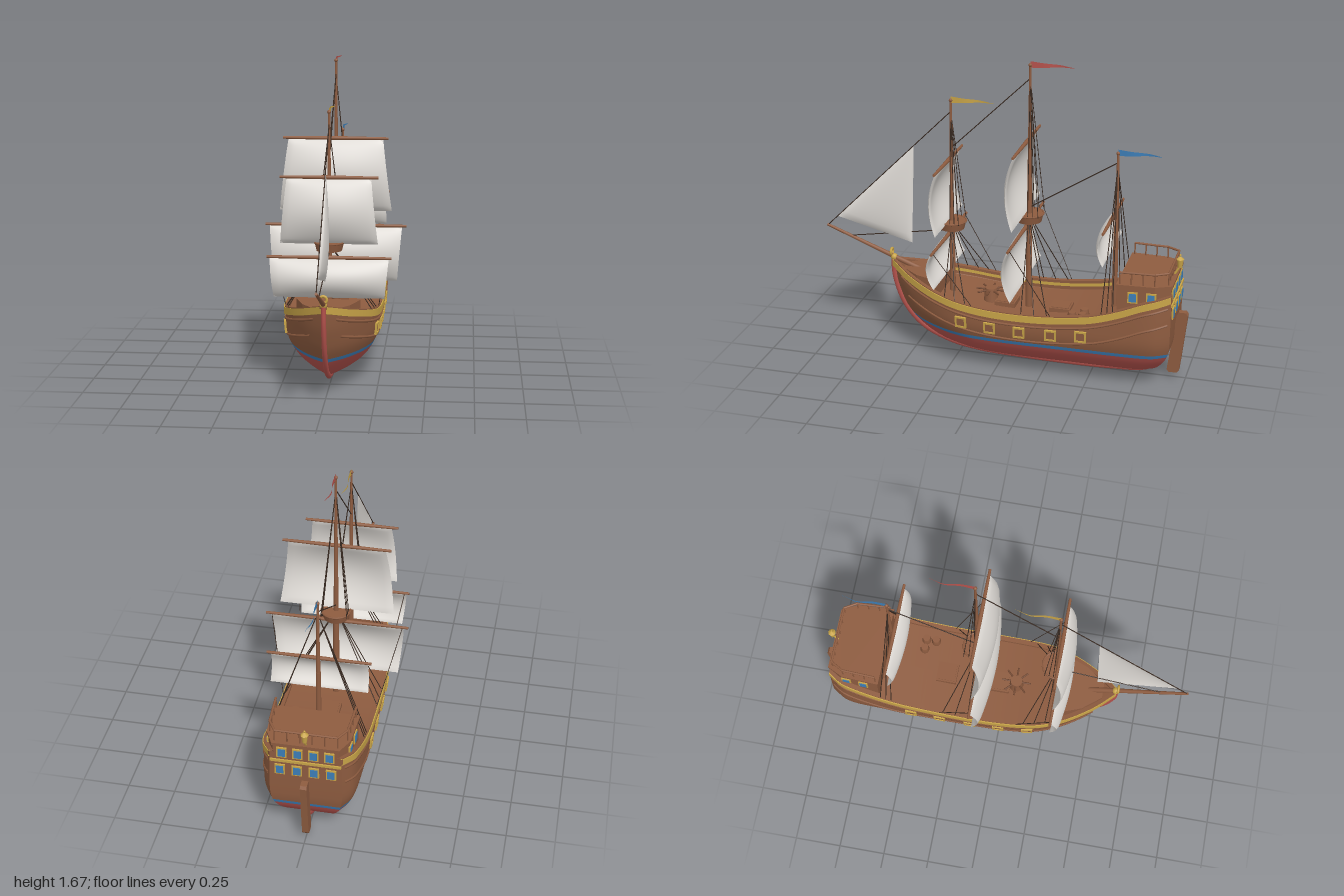
import * as THREE from 'three';
import { toCreasedNormals } from 'three/addons/utils/BufferGeometryUtils.js';

const paint = (name, color) => new THREE.MeshStandardMaterial({ name, color, side: THREE.DoubleSide });
const V = (x, y, z) => new THREE.Vector3(x, y, z);
const { lerp } = THREE.MathUtils;

// smooth curve through [x, y] pairs
function table(pts) {
  const d = pts.map((p, i) => {
    const a = pts[Math.max(i - 1, 0)], b = pts[Math.min(i + 1, pts.length - 1)];
    return (b[1] - a[1]) / (b[0] - a[0]);
  });
  return x => {
    let i = 0;
    while (i < pts.length - 2 && x > pts[i + 1][0]) i++;
    const [x0, y0] = pts[i], [x1, y1] = pts[i + 1], h = x1 - x0;
    const t = THREE.MathUtils.clamp((x - x0) / h, 0, 1), t2 = t * t, t3 = t2 * t;
    return y0 * (2 * t3 - 3 * t2 + 1) + y1 * (3 * t2 - 2 * t3) + d[i] * h * (t3 - 2 * t2 + t) + d[i + 1] * h * (t3 - t2);
  };
}

// hull lines: stem and stern by height, half beam along the length, sheer by z
const stem = table([[.04, .15], [.07, .32], [.14, .45], [.24, .54], [.33, .58], [.4, .6], [.55, .617]]);
const stern = table([[.04, -.72], [.07, -.82], [.12, -.88], [.2, -.925], [.3, -.935], [.55, -.935]]);
const plan = table([[0, .185], [.05, .23], [.13, .245], [.4, .25], [.6, .25], [.735, .237], [.8, .213], [.865, .17], [.93, .108], [.967, .06], [1, .008]]);
const sheer = table([[-.935, .535], [-.8, .5], [-.7, .46], [-.6, .425], [-.5, .4], [-.3, .376], [-.1, .37], [.1, .38], [.3, .413], [.5, .465], [.61, .505]]);
const section = y => y < .3 ? Math.sqrt(Math.max(0, 1 - ((.3 - y) / .26) ** 2)) : 1 - .6 * (y - .3) ** 2;
const hullAt = (u, y, side = 1) => V(side * plan(u) * section(y), y, lerp(stern(y), stem(y), u));
const uAt = (z, y) => (z - stern(y)) / (stem(y) - stern(y));
const sheerU = u => sheer(lerp(-.935, .61, u));

function surface(nu, nv, f) {
  const pos = [], idx = [];
  for (let i = 0; i <= nu; i++) for (let j = 0; j <= nv; j++) {
    pos.push(...f(i / nu, j / nv).toArray());
    if (i < nu && j < nv) { const a = i * (nv + 1) + j, b = a + nv + 1; idx.push(a, b, a + 1, b, b + 1, a + 1); }
  }
  const g = new THREE.BufferGeometry();
  g.setAttribute('position', new THREE.Float32BufferAttribute(pos, 3));
  g.setIndex(idx);
  g.computeVertexNormals();
  return g;
}

export function createModel() {
  const wood = paint('wood', 0x8e5c40), darkWood = paint('darkWood', 0x744a33), red = paint('red', 0xb8544e);
  const blue = paint('blue', 0x3d7fb8), gold = paint('gold', 0xc9a548), canvas = paint('canvas', 0xdedad5), rope = paint('rope', 0x3a2b22);
  const ship = new THREE.Group();
  ship.name = 'sailingShip';
  const part = (name, parent = ship) => { const g = new THREE.Group(); g.name = name; parent.add(g); return g; };
  const add = (name, geo, mat, parent = ship, x = 0, y = 0, z = 0) => {
    const m = new THREE.Mesh(geo, mat);
    m.name = name; m.position.set(x, y, z); parent.add(m);
    return m;
  };
  const bar = (name, a, b, r0, mat, parent, r1 = r0, n = 10) => {
    const m = add(name, new THREE.CylinderGeometry(r1, r0, a.distanceTo(b), n), mat, parent);
    m.position.copy(a).lerp(b, .5);
    m.quaternion.setFromUnitVectors(V(0, 1, 0), b.clone().sub(a).normalize());
  };
  const box = (name, w, h, d, mat, parent, x, y, z) => add(name, new THREE.BoxGeometry(w, h, d), mat, parent, x, y, z);
  // flat slab from half an outline of [x, z] points
  const slab = (name, half, y0, y1, mat, parent) => {
    const pts = [...half, ...half.map(([x, z]) => [-x, z]).reverse()].map(([x, z]) => new THREE.Vector2(x, -z));
    const g = new THREE.ExtrudeGeometry(new THREE.Shape(pts), { depth: y1 - y0, bevelEnabled: false });
    return add(name, g.rotateX(-Math.PI / 2), mat, parent, 0, y0, 0);
  };

  // hull planking in three colour bands, with the transom
  const hull = part('hull');
  const yLow = .3 - .26 * Math.cos(0);
  const aMax = Math.acos((.3 - .187) / .26);
  const bands = [
    ['bottom', red, 14, (u, v) => v === 0 ? yLow : .3 - .26 * Math.cos(aMax * v)],
    ['waterline', blue, 2, (u, v) => lerp(.187, .208, v)],
    ['topside', wood, 12, (u, v) => lerp(.208, sheerU(u), v)]];
  for (const [name, mat, rows, yOf] of bands) {
    for (const s of [-1, 1]) add(name, surface(70, rows, (u, v) => hullAt(u, yOf(u, v), s)), mat, hull);
    add(name + 'Transom', surface(2, rows, (t, v) => { const p = hullAt(0, yOf(0, v)); p.x *= 2 * t - 1; return p; }), mat, hull);
  }
  add('deck', surface(60, 2, (u, v) => { const p = hullAt(u, sheerU(u) - .055); p.x *= 2 * v - 1; return p; }), wood, hull);

  // rails: a rectangular section swept along the sheer
  const sweep = (name, loop, mat) => [-1, 1].forEach(s => add(name, toCreasedNormals(surface(60, 4, (u, v) => {
    const [dx, dy] = loop[Math.round(v * 4) % 4], p = hullAt(u, sheerU(u), s);
    return V(s * Math.max(0, Math.abs(p.x) + dx), p.y + dy, p.z + u ** 20 * .01);
  }), .6), mat, hull));
  sweep('goldRail', [[-.003, -.034], [.01, -.034], [.01, .002], [-.003, .002]], gold);
  sweep('railCap', [[-.022, -.008], [.004, -.008], [.004, .007], [-.022, .007]], wood);

  // wales, each a rounded timber following the sheer
  for (const s of [-1, 1]) for (const [drop, u0, u1] of [[.15, .01, .955], [.06, .01, .97]]) {
    const pts = Array.from({ length: 24 }, (_, i) => { const u = lerp(u0, u1, i / 23); return hullAt(u, sheerU(u) - drop, s); });
    add('wale', new THREE.TubeGeometry(new THREE.CatmullRomCurve3(pts), 60, .007, 6), wood, hull);
  }

  // keel and stem
  const keelPts = [[.615, .51], [.607, .4], [.553, .25], [.45, .133], [.3, .064], [.14, .034], [-.1, .021], [-.6, .021], [-.79, .042], [-.87, .1]];
  const keel = part('keel');
  keel.scale.x = .65;
  add('keelTimber', new THREE.TubeGeometry(new THREE.CatmullRomCurve3(keelPts.map(([z, y]) => V(0, y, z))), 70, .02, 10), red, keel);
  add('keelEnd', new THREE.SphereGeometry(.02, 10, 8), red, keel, 0, .1, -.87);
  const blade = new THREE.Shape([[-.9, .045], [-.91, .03], [-.955, .03], [-.965, .045], [-1, .365], [-.99, .38], [-.95, .38], [-.942, .365]].map(p => new THREE.Vector2(...p)));
  add('rudder', new THREE.ExtrudeGeometry(blade, { depth: .034, bevelEnabled: false }).rotateY(-Math.PI / 2), wood, ship, .017);

  // gun ports facing outward from the planking
  const frame = new THREE.Shape([[-1, -1], [1, -1], [1, 1], [-1, 1]].map(([x, y]) => new THREE.Vector2(x * .031, y * .031)));
  frame.holes.push(new THREE.Path([[-1, -1], [-1, 1], [1, 1], [1, -1]].map(([x, y]) => new THREE.Vector2(x * .022, y * .022))));
  const frameGeo = new THREE.ExtrudeGeometry(frame, { depth: .014, bevelEnabled: false });
  for (const s of [-1, 1]) for (const [z, y] of [[.17, .287], [.01, .277], [-.15, .272], [-.32, .276], [-.48, .288]]) {
    const u = uAt(z, y), e = .01, p = hullAt(u, y, s), port = part('gunPort');
    const n = hullAt(u + e, y, s).sub(hullAt(u - e, y, s)).cross(hullAt(u, y + e, s).sub(hullAt(u, y - e, s))).normalize();
    if (n.x * s < 0) n.negate();
    port.position.copy(p);
    port.lookAt(p.clone().add(n));
    add('portFrame', frameGeo, gold, port, 0, 0, -.004);
    box('portLid', .046, .046, .008, wood, port, 0, 0, .001);
  }

  // forecastle and stern castle
  slab('forecastle', [[.165, .33], [.12, .45], [.04, .55]], .34, .475, wood, ship);
  const castle = part('sternCastle');
  const plan0 = [[.215, -.66], [.205, -.85], [.165, -.93]];
  slab('cabin', plan0, .36, .58, wood, castle);
  slab('cabinRoof', [[.222, -.653], [.212, -.853], [.17, -.938]], .577, .592, wood, castle);
  const glazed = (x, y, z, ry) => {
    const w = part('window', castle);
    w.position.set(x, y, z); w.rotation.y = ry;
    box('windowFrame', .052, .06, .009, gold, w, 0, 0, .002);
    box('windowPane', .037, .045, .009, blue, w, 0, 0, .005);
  };
  for (const s of [-1, 1]) {
    for (const z of [-.74, -.835]) glazed(s * (.215 + (z + .66) * .0526), .525, z, s * (Math.PI / 2 + .053));
    for (const k of [.04, .12]) { glazed(s * k, .535, -.932, Math.PI); glazed(s * k * 1.08, .43, -.937, Math.PI); }
  }
  box('sternMoulding', .36, .014, .016, gold, castle, 0, .485, -.935);

  // stern railing on posts
  const corners = [[.205, -.67], [.196, -.85], [.158, -.915]];
  const railPath = [...corners, ...corners.map(([x, z]) => [-x, z]).reverse()];
  railPath.slice(1).forEach(([x1, z1], i) => {
    const [x0, z0] = railPath[i], n = Math.max(1, Math.round(Math.hypot(x1 - x0, z1 - z0) / .06));
    bar('handrail', V(x0, .655, z0), V(x1, .655, z1), .006, wood, castle);
    for (let k = i ? 1 : 0; k <= n; k++) {
      const x = lerp(x0, x1, k / n), z = lerp(z0, z1, k / n);
      bar('railPost', V(x, .585, z), V(x, .655, z), .004, wood, castle, .004, 6);
    }
  });
  const lantern = part('lantern');
  bar('lanternBracket', V(0, .59, -.92), V(0, .635, -.945), .006, gold, lantern);
  add('lanternBody', new THREE.CylinderGeometry(.017, .012, .045, 8), gold, lantern, 0, .652, -.945);
  add('lanternCap', new THREE.ConeGeometry(.021, .02, 8), gold, lantern, 0, .684, -.945);
  add('lanternKnob', new THREE.SphereGeometry(.006, 8, 6), gold, lantern, 0, .696, -.945);

  // bowsprit and its gold ring
  bar('bowsprit', V(0, .43, .39), V(0, .665, .998), .016, wood, ship, .007);
  add('bowRing', new THREE.TorusGeometry(.018, .007, 8, 18), gold, ship, 0, .545, .63);
  add('bowOrnament', new THREE.SphereGeometry(.019, 12, 8), gold, ship, 0, .515, .617);

  // billowing square sail with a rounded rim
  const squareSail = (parent, z, yT, yB, wT, wB, belly) => [-1, 1].forEach(side => add('squareSail', surface(28, 24, (u, v) => {
    const s = 2 * u - 1, rim = Math.sqrt(Math.max(0, (1 - s ** 10) * (1 - (2 * v - 1) ** 10)));
    const b = belly * Math.sin(Math.PI * v) ** .85 * (.55 + .45 * Math.cos(s * Math.PI / 2));
    return V(s * lerp(wB, wT, v), lerp(yB, yT, v), z + b + side * .009 * rim);
  }), canvas, parent));

  // masts: sails are [yard height, yard half length, foot height, head half width, foot half width, belly]
  const masts = [
    { name: 'foreMast', z: .285, top: 1.43, r: .017, nest: .742, flag: gold, aft: [-.02, -.08, -.14], sails: [[1.1, .25, .757, .215, .25, .065], [.685, .32, .475, .305, .285, .065]] },
    { name: 'mainMast', z: -.14, top: 1.65, r: .019, nest: .828, flag: red, aft: [-.02, -.09, -.16], sails: [[1.24, .28, .85, .252, .3, .075], [.77, .378, .47, .355, .33, .075]] },
    { name: 'mizzenMast', z: -.605, top: 1.22, r: .016, nest: 0, flag: blue, aft: [.02, -.01, -.04], sails: [[.875, .265, .69, .245, .25, .055]] }];
  for (const m of masts) {
    const g = part(m.name), hitch = m.nest || 1.13, nestR = .076;
    bar('lowerMast', V(0, .3, m.z), V(0, m.nest || .8, m.z), m.r, wood, g, m.r * .8, 12);
    bar('topMast', V(0, m.nest || .8, m.z), V(0, m.top, m.z), m.r * .72, wood, g, .006, 12);
    add('mastCap', new THREE.SphereGeometry(.01, 10, 8), wood, g, 0, m.top, m.z);
    if (m.nest) {
      add('crowsNest', new THREE.CylinderGeometry(nestR, nestR * .86, .044, 20), wood, g, 0, m.nest, m.z);
      add('nestRim', new THREE.TorusGeometry(nestR, .005, 6, 24).rotateX(Math.PI / 2), wood, g, 0, m.nest + .021, m.z);
    }
    add('pennant', surface(16, 1, (u, v) => V(.012 * Math.sin(u * 8) * u, m.top + .003 + (v - .5) * .034 * (1 - u), m.z - u * .24)), m.flag, g);
    for (const [y, half, foot, wT, wB, belly] of m.sails) {
      const z = m.z + .017;
      for (const s of [-1, 1]) bar('yard', V(0, y, z), V(s * half, y, z), .011, wood, g, .007);
      squareSail(g, z, y - .006, foot, wT, wB, belly);
    }
    // shrouds and braces on both sides
    for (const s of [-1, 1]) {
      for (const dz of m.aft) {
        const z = m.z + dz, y = sheer(z), p = hullAt(uAt(z, y), y, s);
        bar('shroud', V(s * .01, hitch, m.z), p, .0025, rope, g, .0025, 5);
        if (m.nest) bar('topShroud', V(0, m.top - .07, m.z), V(s * nestR * .9, m.nest + .02, m.z + dz * .4), .002, rope, g, .002, 5);
      }
      const [y, half] = m.sails[m.sails.length - 1];
      const bz = m.z - .18, by = sheer(bz);
      if (m.nest) bar('brace', V(s * half * .92, y, m.z + .017), hullAt(uAt(bz, by), by, s), .002, rope, g, .002, 5);
    }
  }

  // stays between the masts and the bowsprit
  const rigging = part('stays');
  for (const [z0, y0, z1, y1] of [[.285, 1.37, .99, .668], [-.14, 1.58, .285, 1.17], [-.605, 1.17, -.14, .88], [.285, .71, .86, .615]])
    bar('stay', V(0, y0, z0), V(0, y1, z1), .0028, rope, rigging, .0028, 5);

  // jib, a bulging triangle on the fore stay
  for (const side of [-1, 1]) add('jib', surface(24, 24, (u, v) => {
    const a = 1 - v, b = v * (1 - u), c = v * u, k = Math.max(0, 27 * a * b * c);
    return V(.022 * k ** .6 + side * .006 * k ** .25, a * 1.16 + b * .61 + c * .72, a * .492 + b * .512 + c * .935);
  }), canvas);

  // deck fittings: hatches, capstan, barrels
  const fittings = part('deckFittings');
  for (const z of [-.32, -.02]) {
    box('hatchCoaming', .112, .03, .112, wood, fittings, 0, .327, z);
    box('hatchCover', .094, .008, .094, darkWood, fittings, 0, .342, z).material = wood;
  }
  add('capstan', new THREE.CylinderGeometry(.032, .04, .075, 16), wood, fittings, 0, .36, .07);
  for (let i = 0; i < 4; i++) {
    const c = Math.cos(i * Math.PI / 4) * .08, s = Math.sin(i * Math.PI / 4) * .08;
    bar('capstanBar', V(c, .385, .07 + s), V(-c, .385, .07 - s), .005, darkWood, fittings);
  }
  const stave = [[0, 0], [.02, 0], [.026, .03], [.02, .06], [0, .06]].map(p => new THREE.Vector2(...p));
  for (const [x, z] of [[.11, -.47], [.165, -.47], [.165, -.415]])
    add('barrel', toCreasedNormals(new THREE.LatheGeometry(stave, 14), .7), wood, fittings, x, .325, z);
  return ship;
}
